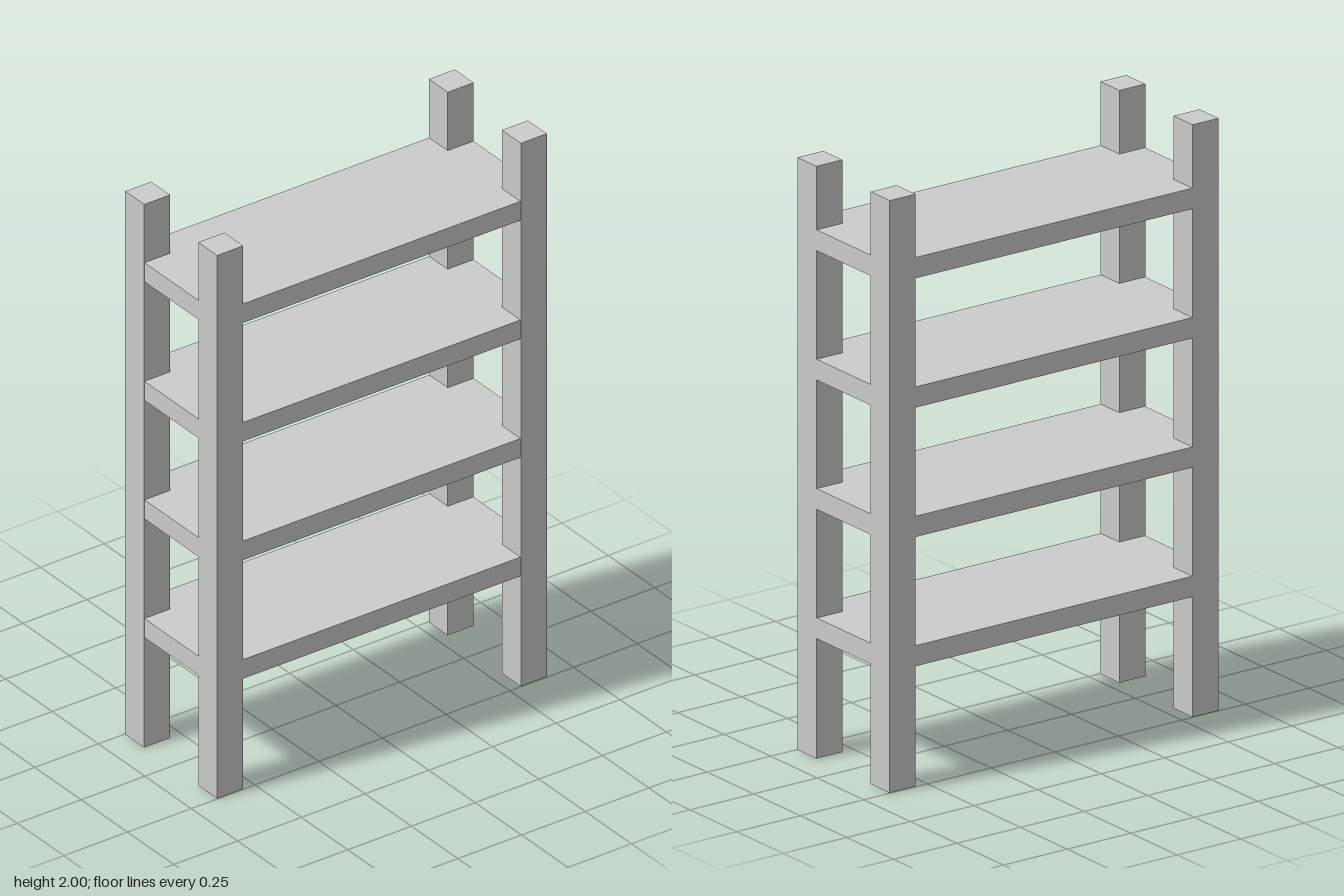
import * as THREE from 'three';

export function createModel() {
  const model = new THREE.Group();
  model.name = 'shelvingUnit';
  const material = new THREE.MeshStandardMaterial({ color: 0xcccccc, flatShading: true });

  const POST = 0.102, HEIGHT = 2, WIDTH = 1.293, DEPTH = 0.496;
  const SHELF_THICKNESS = 0.07;

  function addBox(name, size, position) {
    const mesh = new THREE.Mesh(new THREE.BoxGeometry(...size), material);
    mesh.name = name;
    mesh.position.set(...position);
    model.add(mesh);
  }

  // Four square corner posts
  for (const [side, sx] of [['Left', 1], ['Right', -1]]) {
    for (const [end, sz] of [['front', 1], ['back', -1]]) {
      addBox(`${end}${side}Post`, [POST, HEIGHT, POST],
        [sx * (WIDTH - POST) / 2, HEIGHT / 2, sz * (DEPTH - POST) / 2]);
    }
  }

  // Four evenly spaced shelves, a hair inside the post faces
  for (let i = 0; i < 4; i++) {
    addBox(`shelf${i + 1}`, [WIDTH - 0.002, SHELF_THICKNESS, DEPTH - 0.004],
      [0, 0.44 + i * 0.4367, 0]);
  }

  return model;
}
